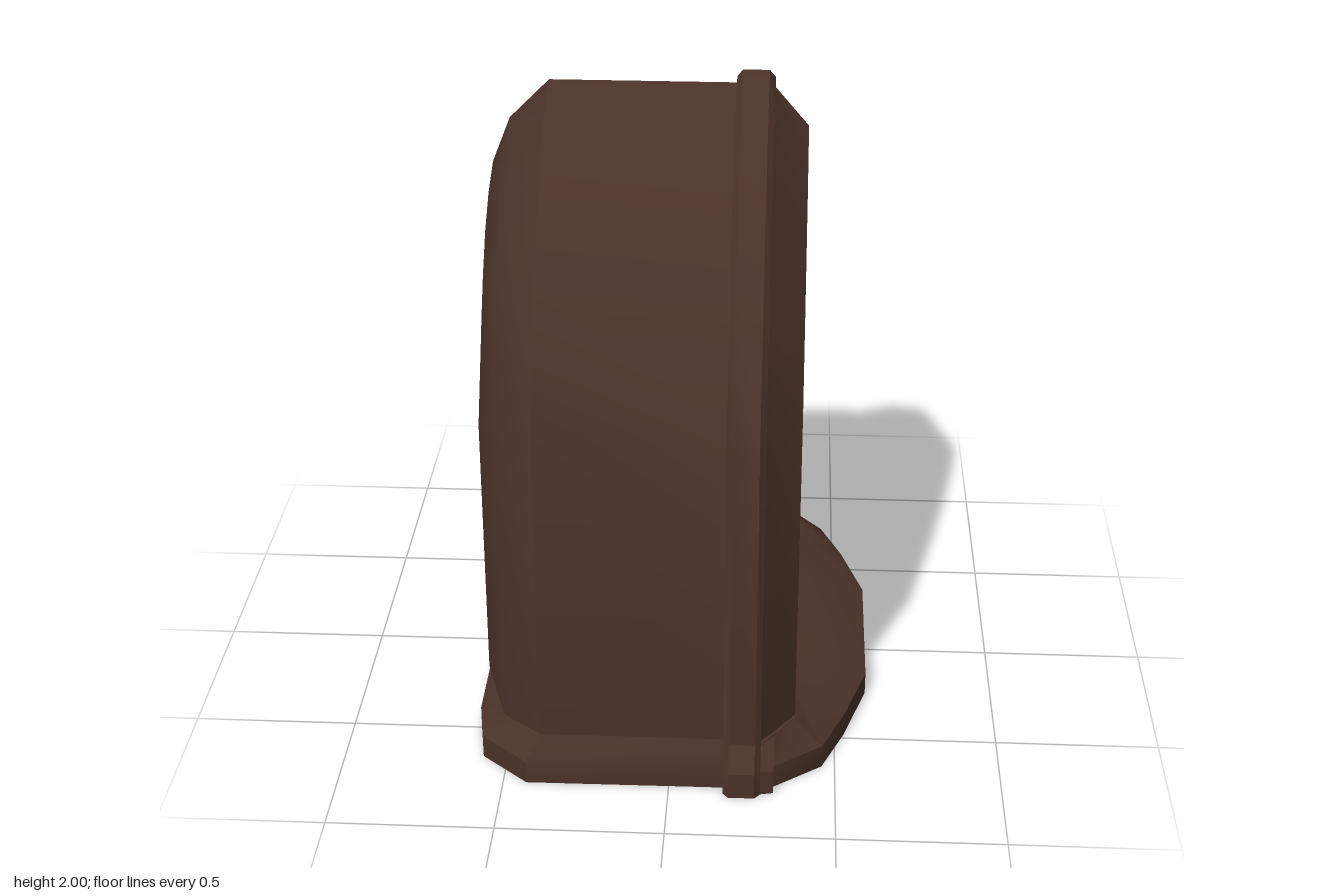
import * as THREE from 'three';
import { toCreasedNormals } from 'three/addons/utils/BufferGeometryUtils.js';

const mat = (name, color) => {
  const m = new THREE.MeshStandardMaterial({ color });
  m.name = name;
  return m;
};

// arch curves: fraction of half width, fraction of rise
const OUTER = [[1, 0], [0.71, 0.45], [0.59, 0.615], [0.43, 0.785], [0.235, 0.915], [0, 1]];
const TRIM = [[1, 0], [0.7, 0.42], [0.53, 0.61], [0.38, 0.76], [0.2, 0.9], [0, 1]];
const INNER = [[1, 0], [0.8, 0.43], [0.69, 0.58], [0.56, 0.72], [0.29, 0.915], [0, 1]];

// mirror a half outline (u >= 0) into a closed counter-clockwise outline
function mirrored(half) {
  const other = half.filter(p => p[0] > 0).map(p => [-p[0], p[1]]).reverse();
  const pts = [...half, ...other].map(p => new THREE.Vector2(p[0], p[1]));
  return THREE.ShapeUtils.isClockWise(pts) ? pts.reverse() : pts;
}

// pointed arch outline, with optional foot points below the straight side
function arch(h, bottom, spring, top, curve, foot = []) {
  return mirrored([...foot, [h, bottom],
    ...curve.map(([u, v]) => [u * h, spring + v * (top - spring)])]);
}

// skin a run of [outline, depth] sections
function loft(sections, capStart, capEnd) {
  const pos = [];
  const put = (p, z) => pos.push(p.x, p.y, z);
  for (let s = 0; s + 1 < sections.length; s++) {
    const [a, za] = sections[s], [b, zb] = sections[s + 1];
    for (let i = 0; i < a.length; i++) {
      const j = (i + 1) % a.length;
      put(a[i], za); put(a[j], za); put(b[j], zb);
      put(a[i], za); put(b[j], zb); put(b[i], zb);
    }
  }
  const cap = ([pts, z], flip) => {
    for (const [a, b, c] of THREE.ShapeUtils.triangulateShape(pts, [])) {
      for (const k of flip ? [a, c, b] : [a, b, c]) put(pts[k], z);
    }
  };
  if (capStart) cap(sections[0], true);
  if (capEnd) cap(sections[sections.length - 1], false);
  const g = new THREE.BufferGeometry();
  g.setAttribute('position', new THREE.Float32BufferAttribute(pos, 3));
  return toCreasedNormals(g, 0.55);
}

export function createModel() {
  const wood = mat('dark wood', 0x4a3228);
  const gold = mat('aged gold', 0xaa8c4a);
  const cloth = mat('cream cloth', 0xd0c6b0);

  const model = new THREE.Group();
  model.name = 'tabletopRadio';
  // built facing +z, then turned to face +x
  const radio = new THREE.Group();
  radio.name = 'radio';
  radio.rotation.y = Math.PI / 2;
  model.add(radio);

  const add = (name, geometry, material) => {
    const m = new THREE.Mesh(geometry, material);
    m.name = name;
    radio.add(m);
    return m;
  };

  // cabinet with chamfered back
  add('cabinet', loft([
    [arch(0.52, 0.245, 1.08, 1.70, OUTER), -0.565],
    [arch(0.63, 0.145, 1.13, 1.84, OUTER), -0.51],
    [arch(0.73, 0.14, 1.165, 1.96, OUTER), -0.39],
    [arch(0.73, 0.14, 1.165, 1.96, OUTER), 0.2],
  ], true, false), wood);

  // raised band around the cabinet, flared at its foot
  const band = (d, w) => [arch(0.77 - d, 0.155, 1.17, 2 - d, OUTER,
    [[0.82 - d, 0], [0.82 - d, 0.085]]), w];
  add('band', loft([band(0.02, 0.163), band(0, 0.18), band(0, 0.258), band(0.02, 0.275)],
    true, true), wood);
  add('bandFoot', loft([
    [mirrored([[0.80, 0], [0.80, 0.085], [0.74, 0.145]]), 0.27],
    [mirrored([[0.79, 0], [0.79, 0.075], [0.73, 0.14]]), 0.315],
  ], false, true), wood);

  // base plinth
  const plan = half => mirrored(half.map(([u, w]) => [u, -w]));
  const baseEdge = plan([[0.25, 0.6], [0.48, 0.53], [0.65, 0.46], [0.77, 0.3],
    [0.775, -0.43], [0.65, -0.575], [0.5, -0.6]]);
  const baseTop = plan([[0.25, 0.38], [0.48, 0.38], [0.61, 0.375], [0.74, 0.28],
    [0.735, -0.39], [0.63, -0.5], [0.5, -0.51]]);
  const base = loft([[baseEdge, 0], [baseEdge, 0.075], [baseTop, 0.147]], true, true);
  base.rotateX(-Math.PI / 2);
  add('base', base, wood);

  // sloping front surround
  const trimOuter = arch(0.595, 0.15, 1.17, 1.83, TRIM);
  add('frontSurround', loft([
    [arch(0.74, 0.145, 1.17, 1.955, OUTER), 0.27],
    [trimOuter, 0.376],
  ], false, false), wood);

  // gold frame and its recessed inner wall
  const trimInner = arch(0.55, 0.225, 1.17, 1.77, TRIM);
  const recess = arch(0.51, 0.24, 1.05, 1.70, INNER);
  add('goldFrame', loft([[trimOuter, 0.376], [trimInner, 0.376], [recess, 0.285]],
    false, false), gold);

  // speaker cloth
  const panel = new THREE.ShapeGeometry(new THREE.Shape(recess));
  panel.translate(0, 0, 0.286);
  add('speakerCloth', panel, cloth);

  // grille with two windows and a small triangle, bevelled edges
  const bevel = 0.025;
  const grille = new THREE.Shape(mirrored([[0.49, 0.265], [0.49, 1.03], [0.385, 1.075],
    [0.2, 1.135], [0.1, 1.105], [0, 1.105]]));
  const windowPts = [[0.445, 0.915], [0.355, 1.02], [0.25, 1.055], [0.12, 1.045],
    [0.015, 0.945], [0.015, 0.385], [0.09, 0.335], [0.19, 0.335], [0.285, 0.445],
    [0.39, 0.53], [0.445, 0.61]];
  for (const s of [-1, 1]) {
    grille.holes.push(new THREE.Path(windowPts.map(([u, v]) => new THREE.Vector2(s * u, v))));
  }
  grille.holes.push(new THREE.Path([[-0.1, 1.087], [0.1, 1.087], [0, 0.99]]
    .map(p => new THREE.Vector2(...p))));
  const grilleGeo = new THREE.ExtrudeGeometry(grille, {
    depth: 0.01, bevelEnabled: true, bevelThickness: 0.03, bevelSize: bevel * 0.8, bevelSegments: 1,
  });
  grilleGeo.translate(0, 0, 0.282);
  add('grille', grilleGeo, wood);

  // knobs
  const knob = (name, u, y, r) => {
    const profile = [[r, 0], [r, 0.025], [r * 0.75, 0.035], [r * 0.75, 0.05], [0, 0.054]]
      .map(p => new THREE.Vector2(...p));
    const g = toCreasedNormals(new THREE.LatheGeometry(profile, 10).toNonIndexed(), 0.5);
    g.rotateX(Math.PI / 2);
    add(name, g, gold).position.set(u, y, 0.318);
  };
  knob('tuningKnob', -0.38, 0.375, 0.05);
  knob('volumeKnob', 0.33, 0.33, 0.03);
  knob('toneKnob', 0.4, 0.41, 0.03);

  return model;
}
